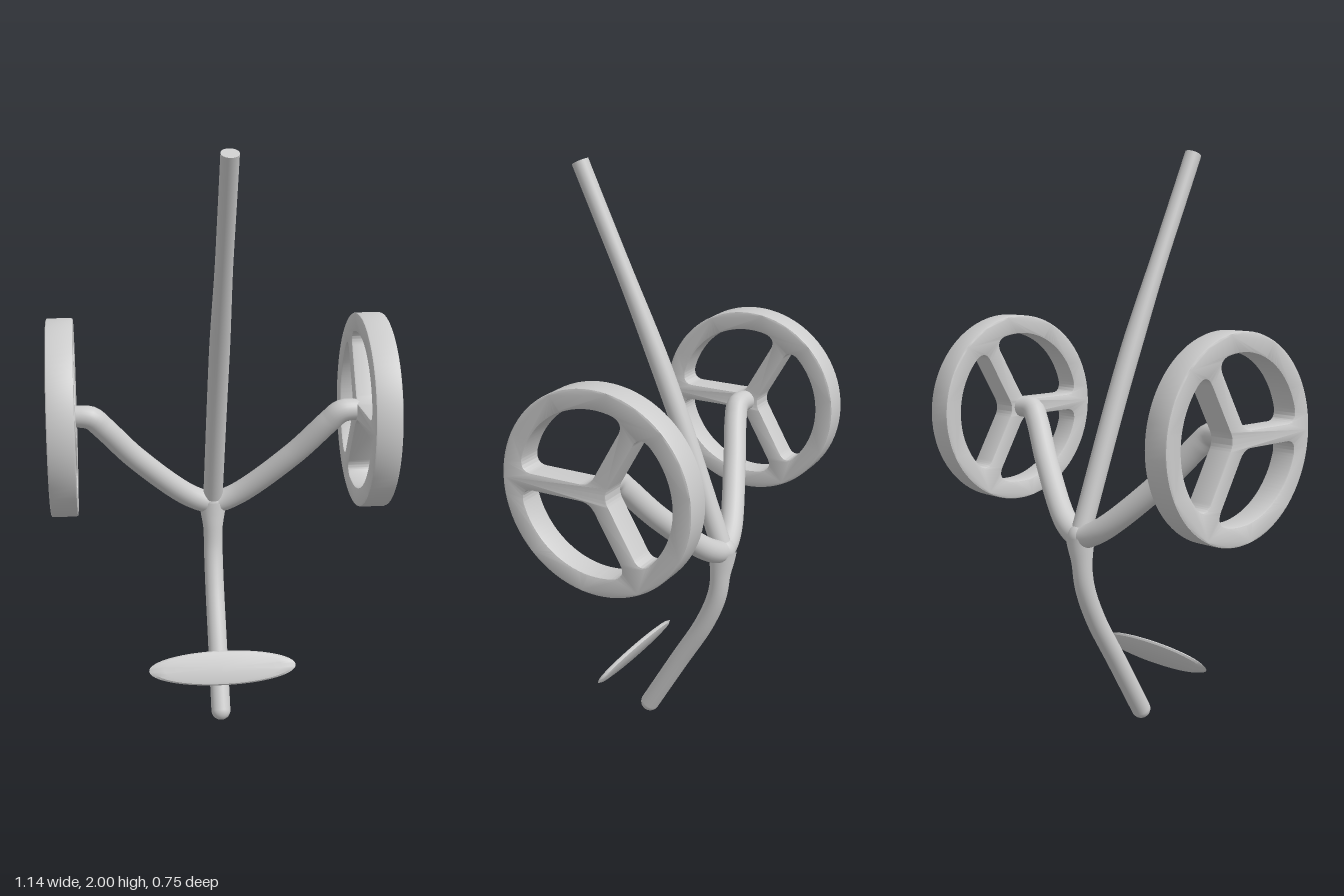
import * as THREE from 'three';
import { toCreasedNormals } from 'three/addons/utils/BufferGeometryUtils.js';

const material = new THREE.MeshStandardMaterial({ color: 0xcccccc });
const V = (x, y, z) => new THREE.Vector3(x, y, z);

function add(parent, name, geometry) {
  const mesh = new THREE.Mesh(geometry, material);
  mesh.name = name;
  parent.add(mesh);
  return mesh;
}

// Round bar along a smooth path, its radius given by a function of 0..1
function bar(points, radiusAt, segments = 40, sides = 24) {
  const curve = new THREE.CatmullRomCurve3(points, false, 'centripetal');
  const geometry = new THREE.TubeGeometry(curve, segments, 1, sides, false);
  const pos = geometry.attributes.position;
  const p = V(0, 0, 0);
  for (let i = 0; i < pos.count; i++) {
    const t = Math.floor(i / (sides + 1)) / segments;
    const centre = curve.getPointAt(t);
    p.fromBufferAttribute(pos, i).sub(centre).multiplyScalar(radiusAt(t)).add(centre);
    pos.setXYZ(i, p.x, p.y, p.z);
  }
  geometry.computeBoundingSphere();
  return geometry;
}

// Rounded opening between two of the three spokes
function wheelOpening(start, r, w) {
  const at = (a, along, side) => [
    along * Math.cos(a) - side * Math.sin(a),
    along * Math.sin(a) + side * Math.cos(a),
  ];
  const third = Math.PI * 2 / 3, end = start + third;
  const edge = Math.sqrt(r * r - w * w);
  const da = Math.asin(w / r), turn = da + 0.17;
  const hub = w / Math.tan(third / 2);
  const path = new THREE.Path();
  path.moveTo(...at(start, hub + 0.035, w));
  path.lineTo(...at(start, edge - 0.045, w));
  path.quadraticCurveTo(...at(start, edge, w), ...at(start + turn, r, 0));
  path.absarc(0, 0, r, start + turn, end - turn, false);
  path.quadraticCurveTo(...at(end, edge, -w), ...at(end, edge - 0.045, -w));
  path.lineTo(...at(end, hub + 0.035, -w));
  path.quadraticCurveTo(...at(end, hub, -w), ...at(start, hub + 0.035, w));
  return path;
}

function wheelGeometry() {
  const shape = new THREE.Shape();
  shape.absarc(0, 0, 0.335, 0, Math.PI * 2, false);
  for (const degrees of [-60, 60, 180]) {
    shape.holes.push(wheelOpening(THREE.MathUtils.degToRad(degrees), 0.27, 0.029));
  }
  const bevel = 0.006;
  const geometry = new THREE.ExtrudeGeometry(shape, {
    depth: 0.09 - 2 * bevel, curveSegments: 40, bevelEnabled: true,
    bevelSize: bevel, bevelThickness: bevel, bevelOffset: -bevel, bevelSegments: 2,
  });
  geometry.translate(0, 0, -0.045 + bevel);
  geometry.rotateY(Math.PI / 2);
  return toCreasedNormals(geometry, 0.6);
}

export function createModel() {
  const model = new THREE.Group();
  model.name = 'wheeledFrame';

  // Long sloping handle with a flat end
  const foot = V(0, 0.72, -0.19), top = V(0, 1.986, 0.35);
  const mid = V(0, 1.3, 0.035);
  add(model, 'handle', bar([foot, mid, top],
    t => 0.035 - 0.006 * THREE.MathUtils.smoothstep(t, 0.45, 0.75)));
  const cap = add(model, 'handleEnd', new THREE.CircleGeometry(0.029, 24));
  cap.position.copy(top);
  cap.lookAt(top.clone().multiplyScalar(2).sub(mid));

  // Both arms form one bar that bends through the joint
  const half = [V(0.08, 0.745, -0.178), V(0.275, 0.918, -0.095),
    V(0.39, 1.05, -0.04), V(0.43, 1.088, -0.028), V(0.5, 1.092, -0.036)];
  const left = half.map(p => p.clone());
  const right = half.map(p => V(-p.x, p.y, p.z)).reverse();
  add(model, 'arms', bar([...right, V(0, 0.716, -0.19), ...left],
    t => 0.04 - 0.004 * THREE.MathUtils.smoothstep(Math.abs(t - 0.5), 0.44, 0.5), 96));

  // Curved lower stem, flared into the joint, with a round tip
  const tip = V(0, 0.034, 0.1);
  add(model, 'stem', bar([V(0, 0.72, -0.192), V(0, 0.65, -0.186), V(0, 0.54, -0.172),
    V(0, 0.42, -0.125), V(0, 0.24, -0.02), tip],
    t => 0.034 + 0.014 * (1 - THREE.MathUtils.smoothstep(t, 0, 0.16)), 60));
  add(model, 'stemTip', new THREE.SphereGeometry(0.034, 24, 16)).position.copy(tip);
  add(model, 'joint', new THREE.SphereGeometry(0.045, 24, 16)).position.set(0, 0.715, -0.19);

  // Three-spoked wheels
  const wheel = wheelGeometry();
  for (const [name, side] of [['leftWheel', 1], ['rightWheel', -1]]) {
    add(model, name, wheel).position.set(side * 0.525, 1.088, -0.04);
  }

  // Thin oval plate floating before the stem, leaning back
  const profile = [[0, -0.01], [0.8, -0.009], [0.94, -0.006], [1, 0], [0.94, 0.006],
    [0.8, 0.009], [0, 0.01]].map(([x, y]) => new THREE.Vector2(x, y));
  const oval = new THREE.LatheGeometry(profile, 64);
  oval.scale(0.255, 1, 0.059);
  oval.computeVertexNormals();
  const plate = add(model, 'ovalPlate', toCreasedNormals(oval, 0.5));
  plate.position.set(0, 0.23, 0.162);
  plate.rotation.x = THREE.MathUtils.degToRad(60);

  return model;
}
